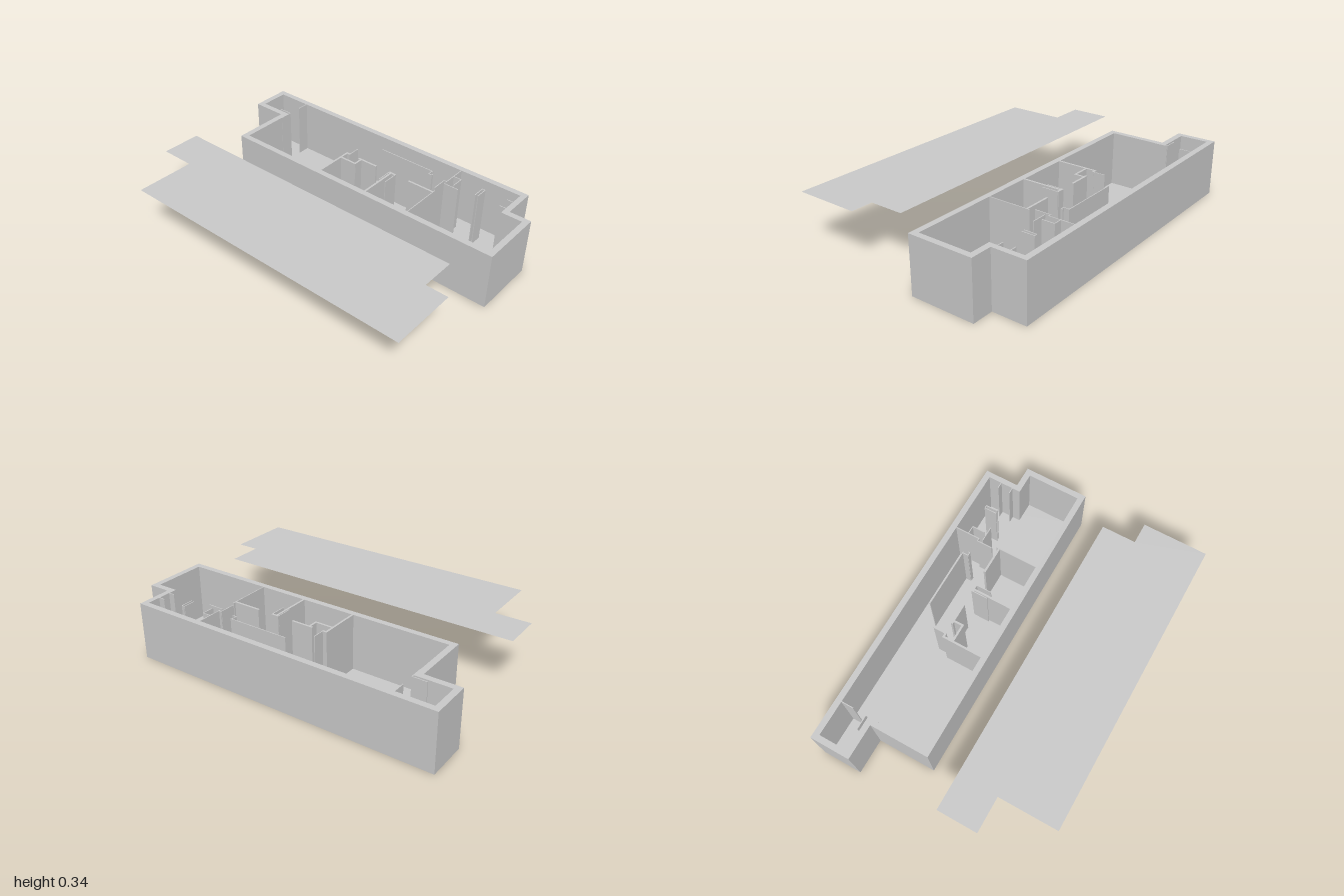
import * as THREE from 'three';

const H = 0.34, FLOOR = 0.004;
const mat = new THREE.MeshStandardMaterial({ color: 0xcccccc, flatShading: true, side: THREE.DoubleSide });

// Plan outlines as [x, z]
const OUTER = [[-1, -0.69], [0.87, -0.69], [0.87, -0.485], [1, -0.485], [1, -0.095], [-0.79, -0.095], [-0.79, -0.45], [-1, -0.45]];
const INNER = [[-0.965, -0.655], [0.838, -0.655], [0.838, -0.45], [0.965, -0.45], [0.965, -0.13], [-0.755, -0.13], [-0.755, -0.485], [-0.965, -0.485]];

const points = (plan) => plan.map(([x, z]) => new THREE.Vector2(x, -z));

function addMesh(parent, name, geometry) {
  const mesh = new THREE.Mesh(geometry, mat);
  mesh.name = name;
  parent.add(mesh);
  return mesh;
}

function extrudeUp(shape, depth) {
  return new THREE.ExtrudeGeometry(shape, { depth, bevelEnabled: false }).rotateX(-Math.PI / 2);
}

// Partitions as [x0, z0, x1, z1, thickness]
const THIN = 0.005, THICK = 0.012;
const PARTITIONS = {
  endRoom: [
    [-0.755, -0.655, -0.755, -0.58, THIN],
    [-0.84, -0.5, -0.755, -0.5, THIN],
    [-0.755, -0.5, -0.755, -0.42, THIN],
  ],
  middleScreen: [
    [-0.035, -0.54, 0.335, -0.54, THIN],
    [0.328, -0.54, 0.328, -0.505, THIN],
    [0.328, -0.505, 0.35, -0.505, THIN],
    [0.348, -0.515, 0.348, -0.505, THIN],
  ],
  frontRooms: [
    [-0.169, -0.375, -0.169, -0.13, THICK],
    [-0.148, -0.445, -0.148, -0.37, THIN],
    [-0.175, -0.37, -0.145, -0.37, THICK],
    [-0.169, -0.312, -0.055, -0.312, THICK],
    [-0.06, -0.37, -0.06, -0.308, THICK],
    [-0.08, -0.37, 0.052, -0.37, THICK],
    [0.16, -0.37, 0.16, -0.13, THICK],
    [0.145, -0.37, 0.19, -0.37, THICK],
    [0.147, -0.37, 0.147, -0.275, THIN],
    [0.19, -0.37, 0.19, -0.275, THIN],
    [0.283, -0.37, 0.452, -0.37, THICK],
    [0.452, -0.388, 0.452, -0.13, THIN],
  ],
  backRooms: [
    [0.452, -0.655, 0.452, -0.5, THIN],
    [0.452, -0.575, 0.503, -0.575, THIN],
    [0.503, -0.575, 0.503, -0.5, THIN],
    [0.435, -0.505, 0.452, -0.505, THIN],
    [0.435, -0.505, 0.435, -0.41, THIN],
    [0.452, -0.48, 0.545, -0.48, THIN],
    [0.644, -0.575, 0.644, -0.5, THIN],
    [0.662, -0.575, 0.662, -0.5, THIN],
    [0.644, -0.575, 0.662, -0.575, THIN],
    [0.8, -0.575, 0.838, -0.575, THIN],
    [0.8, -0.5, 0.838, -0.5, THIN],
  ],
};

function partition([x0, z0, x1, z1, t]) {
  const h = H - FLOOR;
  const g = new THREE.BoxGeometry(Math.abs(x1 - x0) || t, h, Math.abs(z1 - z0) || t);
  return g.translate((x0 + x1) / 2, FLOOR + h / 2, (z0 + z1) / 2);
}

export function createModel() {
  const model = new THREE.Group();
  model.name = 'floorPlanBuilding';

  // Floor slab and surrounding wall
  addMesh(model, 'floor', extrudeUp(new THREE.Shape(points(OUTER)), FLOOR));
  const ring = new THREE.Shape(points(OUTER));
  ring.holes.push(new THREE.Path(points(INNER)));
  addMesh(model, 'outerWall', extrudeUp(ring, H - FLOOR)).position.y = FLOOR;

  // Inside partitions, all full height
  for (const [room, walls] of Object.entries(PARTITIONS)) {
    const group = new THREE.Group();
    group.name = room;
    walls.forEach((w) => addMesh(group, 'partitionWall', partition(w)));
    model.add(group);
  }

  // Roof sheet laid out beside the building at wall-top height
  const roof = addMesh(model, 'roofSheet', new THREE.ShapeGeometry(new THREE.Shape(points(OUTER))).rotateX(-Math.PI / 2));
  roof.position.set(0, H, 0.777);

  return model;
}
